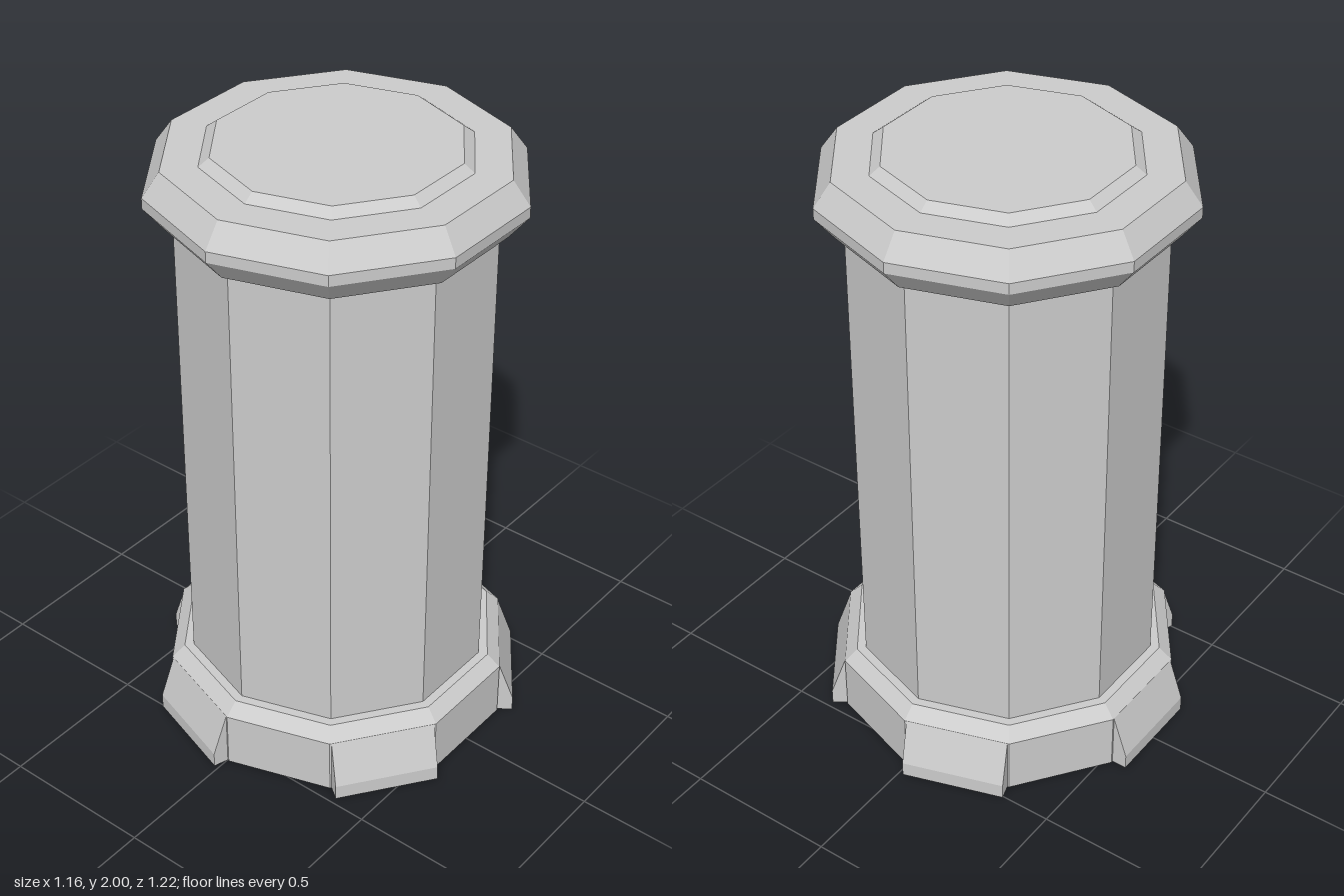
import * as THREE from 'three';

const SIDES = 10;
const material = new THREE.MeshStandardMaterial({ color: 0xcccccc, flatShading: true });

// Ten-sided turned part; profile is [corner radius, height] from bottom to top
function turned(name, profile) {
  const points = profile.map(([r, y]) => new THREE.Vector2(r, y));
  const mesh = new THREE.Mesh(new THREE.LatheGeometry(points, SIDES), material);
  mesh.name = name;
  return mesh;
}

export function createModel() {
  const pillar = new THREE.Group();
  pillar.name = 'pillar';

  // Plinth with a bevelled upper rim
  pillar.add(turned('base', [[0, 0], [0.563, 0], [0.563, 0.19], [0.52, 0.23], [0, 0.23]]));

  // Plain faceted column
  pillar.add(turned('shaft', [[0.49, 0.2], [0.49, 1.82]]));

  // Capital flaring out to a narrow band, then bevelled in
  pillar.add(turned('capital', [
    [0, 1.79], [0.515, 1.79], [0.576, 1.865], [0.576, 1.9], [0.522, 1.975], [0, 1.975],
  ]));

  // Low raised slab on top
  pillar.add(turned('topSlab', [[0.41, 1.975], [0.377, 2], [0, 2]]));

  // Sloped foot blocks on every second face of the base
  const outline = new THREE.Shape([
    [0.48, 0], [0.585, 0], [0.585, 0.05], [0.535, 0.19], [0.48, 0.19],
  ].map(([x, y]) => new THREE.Vector2(x, y)));
  const width = 0.336;
  const blockGeometry = new THREE.ExtrudeGeometry(outline, { depth: width, bevelEnabled: false });
  blockGeometry.translate(0, 0, -width / 2);
  for (let i = 0; i < 5; i++) {
    const block = new THREE.Mesh(blockGeometry, material);
    block.name = 'footBlock' + (i + 1);
    block.rotation.y = Math.PI + (i * 2 * Math.PI) / 5;
    pillar.add(block);
  }

  // Centre the uneven footprint
  pillar.children.forEach((part) => { part.position.x = 0.006; });
  return pillar;
}
